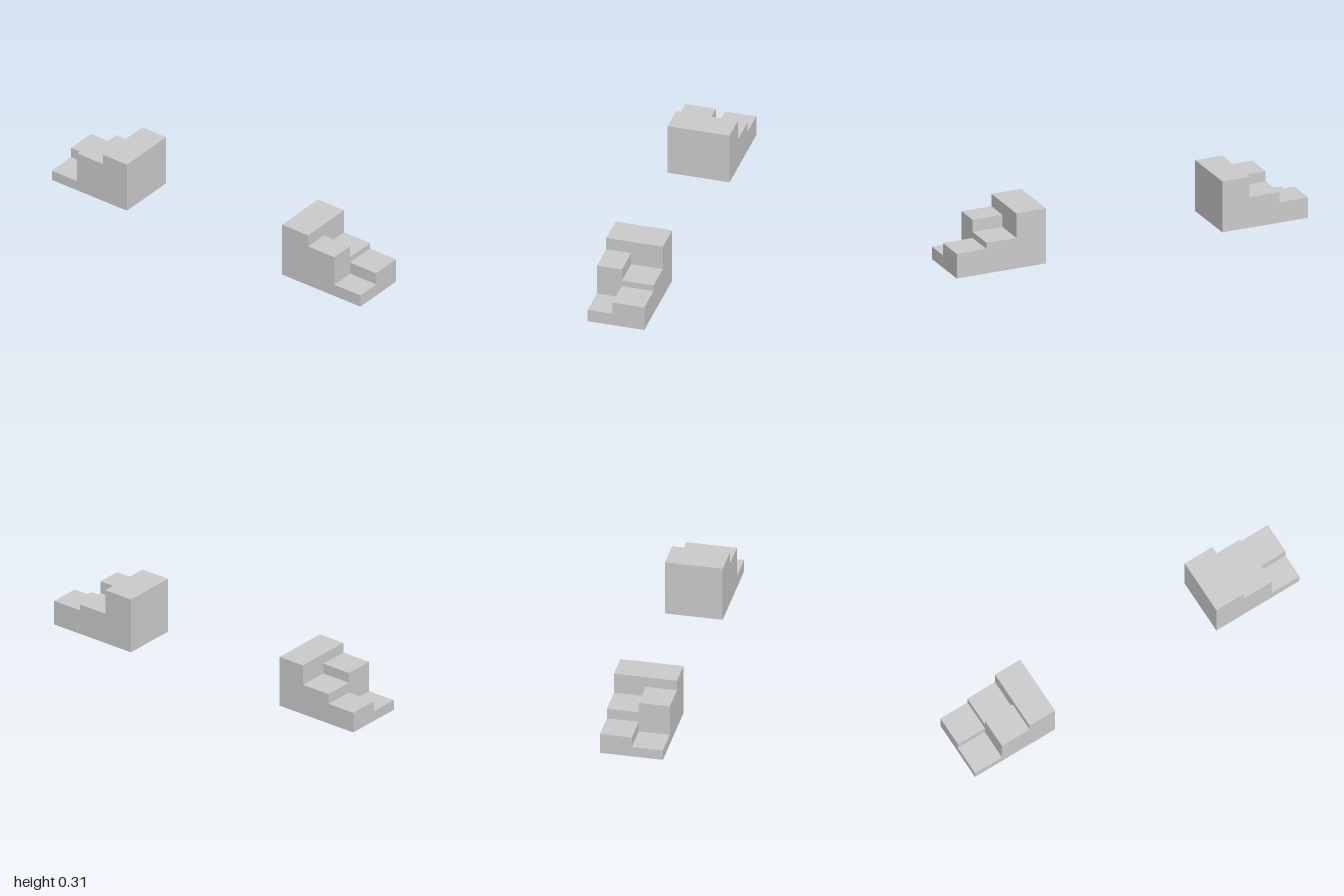
import * as THREE from 'three';

const material = new THREE.MeshStandardMaterial({ color: 0xcccccc, flatShading: true });

// Stepped side profile in (z, y), extruded across x from xMin to xMax
function steppedHalf(name, xMin, xMax, base, zs, heights) {
  const points = [new THREE.Vector2(zs[0], base)];
  heights.forEach((h, i) => {
    points.push(new THREE.Vector2(zs[i], h), new THREE.Vector2(zs[i + 1], h));
  });
  points.push(new THREE.Vector2(zs[zs.length - 1], base));
  const geometry = new THREE.ExtrudeGeometry(new THREE.Shape(points), {
    depth: xMax - xMin,
    bevelEnabled: false,
  });
  geometry.rotateY(-Math.PI / 2); // profile x -> z, depth -> -x
  geometry.translate(xMax, 0, 0);
  const mesh = new THREE.Mesh(geometry, material);
  mesh.name = name;
  return mesh;
}

// Staircase with staggered treads: two halves meeting at x = split,
// step levels counted in equal rises above the base
function staircase(name, { halfWidth, split, base, rise, zs, rightLevels, leftLevels }) {
  const group = new THREE.Group();
  group.name = name;
  const heights = (levels) => levels.map((n) => base + n * rise);
  group.add(
    steppedHalf('rightSteps', -halfWidth, split, base, zs, heights(rightLevels)),
    steppedHalf('leftSteps', split, halfWidth, base, zs, heights(leftLevels)),
  );
  return group;
}

export function createModel() {
  const model = new THREE.Group();
  model.name = 'staggeredStaircases';
  model.add(
    // Front staircase, descending towards +z
    staircase('frontStaircase', {
      halfWidth: 0.153, split: -0.018, base: 0, rise: 0.0612,
      zs: [1, 0.83, 0.66, 0.49],
      rightLevels: [1.12, 3.88, 5],
      leftLevels: [2.23, 2.78, 5],
    }),
    // Back staircase, descending towards -z and slightly raised
    staircase('backStaircase', {
      halfWidth: 0.167, split: -0.002, base: 0.012, rise: 0.0566,
      zs: [-1, -0.835, -0.665, -0.51],
      rightLevels: [1, 4, 5],
      leftLevels: [2, 3, 5],
    }),
  );
  return model;
}
